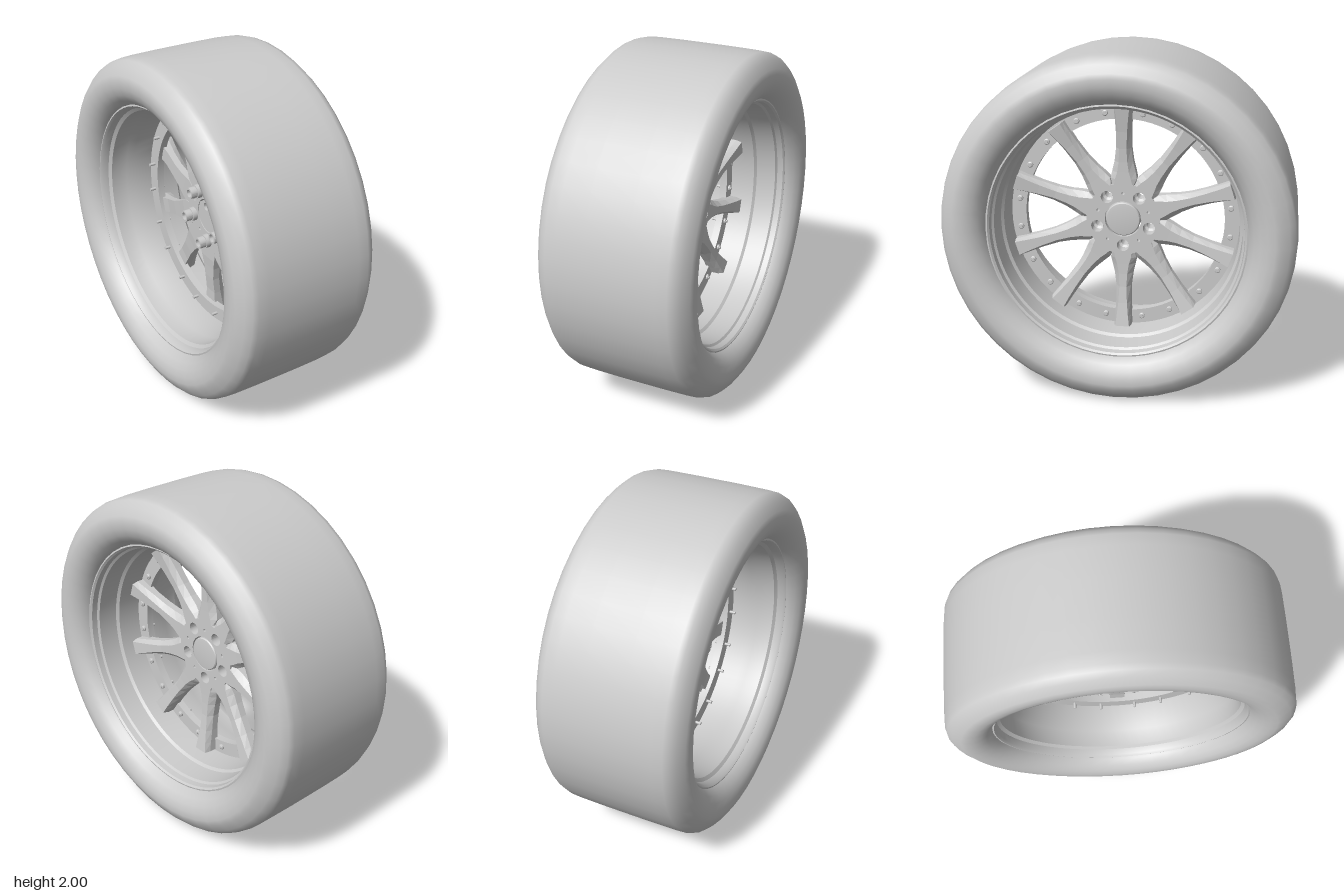
import * as THREE from 'three';
import { toCreasedNormals } from 'three/addons/utils/BufferGeometryUtils.js';

const grey = new THREE.MeshStandardMaterial({ color: 0xcccccc });
const greyDouble = new THREE.MeshStandardMaterial({ color: 0xcccccc, side: THREE.DoubleSide });
const greyFlat = new THREE.MeshStandardMaterial({ color: 0xcccccc, flatShading: true });

function part(name, geometry, material = grey) {
  const mesh = new THREE.Mesh(geometry, material);
  mesh.name = name;
  return mesh;
}

// Profile of [axial position, radius] pairs turned about the local z axis
function turned(profile, segments, crease) {
  const points = profile.map(([z, r]) => new THREE.Vector2(r, z));
  const geometry = new THREE.LatheGeometry(points, segments).rotateX(Math.PI / 2);
  return crease ? toCreasedNormals(geometry, crease) : geometry;
}

function circleHole(shape, x, y, r) {
  shape.holes.push(new THREE.Path().absarc(x, y, r, 0, Math.PI * 2, true));
}

// Flat disc or ring between two axial positions
function plate(shape, back, front) {
  const geometry = new THREE.ExtrudeGeometry(shape, { depth: front - back, bevelEnabled: false, curveSegments: 48 });
  return toCreasedNormals(geometry.translate(0, 0, back), 0.5);
}

function disc(r) {
  return new THREE.Shape().absarc(0, 0, r, 0, Math.PI * 2, false);
}

// Point at a radius, angle measured from straight up
function polar(r, degrees) {
  const a = THREE.MathUtils.degToRad(degrees);
  return [r * Math.sin(a), r * Math.cos(a)];
}

// Spoke lofted along +y: narrow raised land, sloping flanks, straight sides
function spokeGeometry() {
  // radius, land half width, base half width, back, flank edge, land height
  const stations = [
    [0.195, 0.056, 0.062, -0.02, 0.045, 0.06],
    [0.24, 0.046, 0.076, -0.02, 0.035, 0.06],
    [0.28, 0.034, 0.068, -0.02, 0.028, 0.06],
    [0.34, 0.025, 0.054, -0.015, 0.028, 0.061],
    [0.42, 0.021, 0.044, -0.01, 0.032, 0.065],
    [0.52, 0.026, 0.044, 0, 0.042, 0.077],
    [0.6, 0.034, 0.048, 0, 0.055, 0.09],
    [0.66, 0.042, 0.052, 0, 0.065, 0.1],
  ];
  const position = [];
  const index = [];
  for (const [r, a, b, back, edge, top] of stations) {
    position.push(-b, r, back, -b, r, edge, -a, r, top, a, r, top, b, r, edge, b, r, back);
  }
  for (let i = 0; i < stations.length - 1; i++) {
    for (let j = 0; j < 6; j++) {
      const p = i * 6 + j;
      const q = i * 6 + (j + 1) % 6;
      index.push(p, q, q + 6, p, q + 6, p + 6);
    }
  }
  const end = (stations.length - 1) * 6;
  for (let j = 1; j < 5; j++) {
    index.push(end, end + j, end + j + 1);
    index.push(0, j + 1, j);
  }
  const geometry = new THREE.BufferGeometry();
  geometry.setAttribute('position', new THREE.Float32BufferAttribute(position, 3));
  geometry.setIndex(index);
  geometry.computeVertexNormals();
  return geometry;
}

export function createModel() {
  const model = new THREE.Group();
  model.name = 'wheel';
  const wheel = new THREE.Group();
  wheel.name = 'wheelAssembly';
  model.add(wheel);

  // Tyre: half profile mirrored across the centre plane
  const half = [
    [0.33, 0.728], [0.365, 0.738], [0.4, 0.765], [0.425, 0.8], [0.438, 0.84], [0.44, 0.88],
    [0.432, 0.91], [0.405, 0.955], [0.375, 0.984], [0.345, 0.994], [0.28, 0.998], [0.12, 1],
  ];
  const mirrored = half.map(([z, r]) => [-z, r]).reverse();
  wheel.add(part('tyre', turned([...half, ...mirrored], 48), greyDouble));

  // Stepped rim barrel with a lip at each side
  wheel.add(part('rimBarrel', turned([
    [0.33, 0.74], [0.352, 0.737], [0.355, 0.725], [0.345, 0.715], [0.31, 0.712], [0.3, 0.7],
    [0.18, 0.694], [0.165, 0.68], [0.03, 0.672], [-0.15, 0.668], [-0.19, 0.685], [-0.29, 0.69],
    [-0.305, 0.708], [-0.34, 0.714], [-0.355, 0.725], [-0.352, 0.737], [-0.33, 0.74],
  ], 72, 0.5), greyDouble));

  // Mounting flange behind the spoke ends
  const flange = disc(0.675);
  circleHole(flange, 0, 0, 0.585);
  wheel.add(part('flange', plate(flange, -0.025, 0.02)));

  // Ten spokes, each with a pair of flange bolts
  const spoke = spokeGeometry();
  const bolt = new THREE.CylinderGeometry(0.009, 0.009, 0.1, 10).rotateX(Math.PI / 2);
  const washer = turned([[0.02, 0.017], [0.03, 0.017], [0.033, 0.013], [0.033, 0]], 14, 0.5);
  for (let k = 0; k < 10; k++) {
    const arm = part('spoke', spoke, greyFlat);
    arm.rotation.z = k * Math.PI / 5;
    wheel.add(arm);
    for (const offset of [-10, 10]) {
      const [x, y] = polar(0.625, k * 36 + offset);
      const stud = part('flangeBolt', bolt);
      stud.position.set(x, y, -0.01);
      const head = part('boltHead', washer, greyDouble);
      head.position.set(x, y, 0);
      wheel.add(stud, head);
    }
  }

  // Hub plate, pierced for the lugs, small pins and centre cap
  const hub = disc(0.215);
  circleHole(hub, 0, 0, 0.107);
  const sleeve = turned([
    [0.06, 0.036], [0.0, 0.036], [-0.01, 0.023], [-0.09, 0.023], [-0.09, 0.034],
    [-0.05, 0.034], [-0.05, 0.041], [-0.02, 0.041],
  ], 24, 0.5);
  for (let k = 0; k < 5; k++) {
    const [x, y] = polar(0.16, 36 + k * 72);
    circleHole(hub, x, y, 0.036);
    circleHole(hub, ...polar(0.155, k * 72), 0.009);
    const lug = part('lugSleeve', sleeve, greyDouble);
    lug.position.set(x, y, 0);
    wheel.add(lug);
  }
  wheel.add(part('hubPlate', plate(hub, -0.02, 0.06)));

  // Centre cap held by five short webs across the slit
  wheel.add(part('centreCap', turned([
    [-0.02, 0], [-0.02, 0.1], [0.058, 0.1], [0.064, 0.095], [0.066, 0.08], [0.067, 0],
  ], 40, 0.4), greyDouble));
  for (let k = 0; k < 5; k++) {
    const [x, y] = polar(0.103, k * 72);
    const web = part('capWeb', new THREE.BoxGeometry(0.06, 0.016, 0.05));
    web.position.set(x, y, 0.01);
    web.rotation.z = -k * Math.PI * 0.4;
    wheel.add(web);
  }

  // Turn the outer face towards +x and stand the wheel on the ground
  wheel.rotation.y = Math.PI / 2;
  wheel.position.y = 1;
  return model;
}
